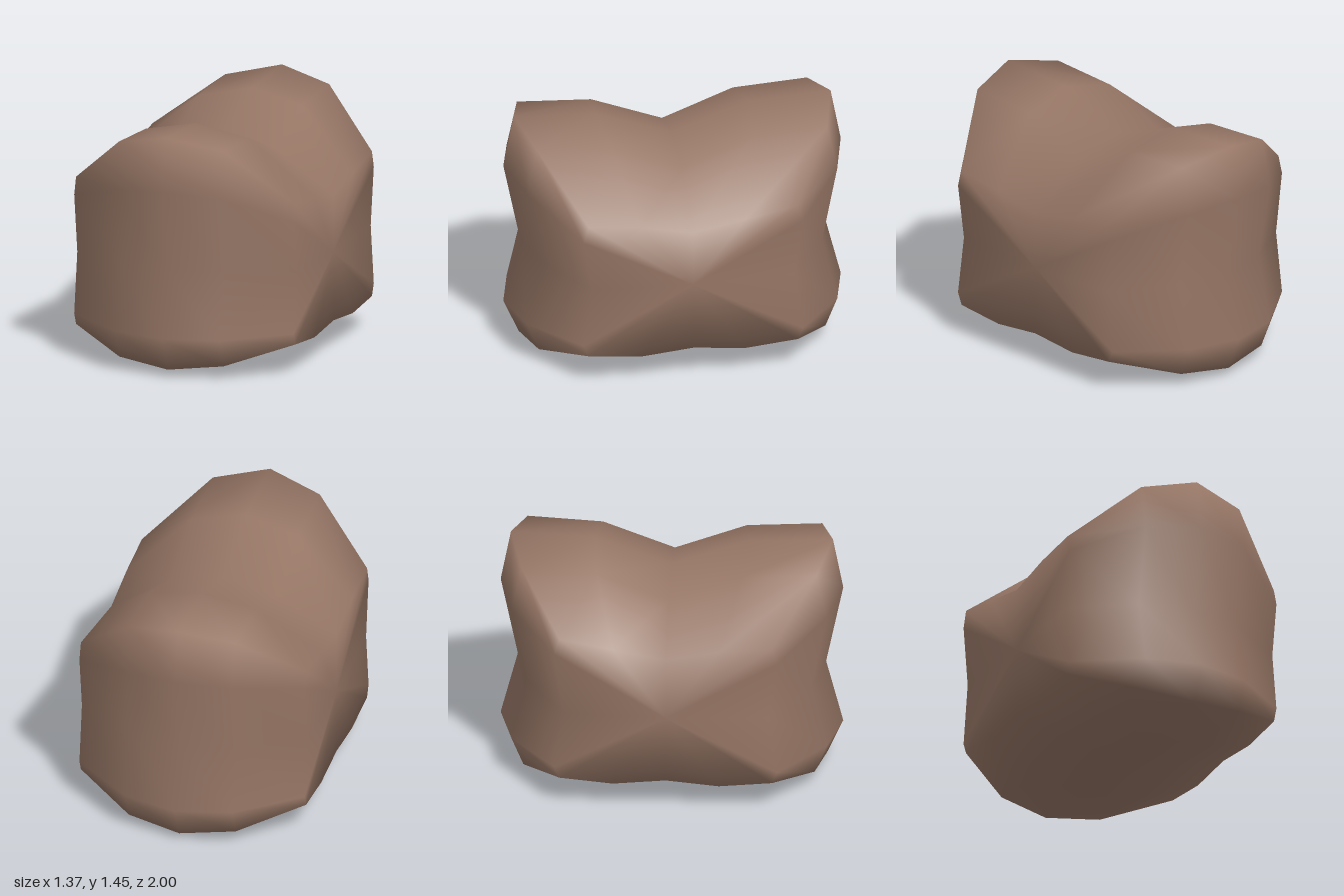
import * as THREE from 'three';

// Half outlines (z, y) from the top middle, down the end, to the bottom middle
const CENTRE = [[0, 1.26], [0.45, 1.42], [0.94, 1.445], [1, 1.13], [0.9, 0.64], [1, 0.25], [0.91, 0.045], [0.45, 0], [0, 0.05]];
const INNER = [[0, 1.19], [0.42, 1.35], [0.86, 1.375], [0.92, 1.1], [0.83, 0.64], [0.92, 0.25], [0.85, 0.08], [0.42, 0.04], [0, 0.085]];
const OUTER = [[0, 0.94], [0.31, 1.0], [0.62, 1.03], [0.65, 0.93], [0.6, 0.62], [0.65, 0.26], [0.62, 0.19], [0.31, 0.16], [0, 0.19]];

// Full closed outline: front half, then the back half mirrored
function outline(half) {
  const back = half.slice(1, -1).reverse().map(([z, y]) => [-z, y]);
  return [...half, ...back];
}

// The shoulders of the lump differ a little in height
function shoulderLift(x, z, y) {
  if (Math.abs(x) < 0.6 || y < 0.9) return 0;
  const side = x < 0 ? 0.045 : 0;
  const back = z < -0.5 ? 0.03 : 0;
  return side + back;
}

export function createModel() {
  const group = new THREE.Group();
  group.name = 'saddleRock';
  const stone = new THREE.MeshStandardMaterial({ color: 0x967665 });
  stone.name = 'brown stone';

  const sections = [[-0.685, OUTER], [-0.325, INNER], [0, CENTRE], [0.325, INNER], [0.685, OUTER]];
  const positions = [];
  const index = [];
  const n = outline(CENTRE).length;

  // Cross-sections from side to side
  for (const [x, half] of sections) {
    for (const [z, y] of outline(half)) positions.push(x, y + shoulderLift(x, z, y), z);
  }
  for (let s = 0; s < sections.length - 1; s++) {
    for (let i = 0; i < n; i++) {
      const j = (i + 1) % n;
      const a = s * n + i, b = s * n + j;
      index.push(a, b, b + n, a, b + n, a + n);
    }
  }

  // Flat sides
  const left = positions.length / 3;
  positions.push(-0.685, 0.6, 0, 0.685, 0.6, 0);
  const last = (sections.length - 1) * n;
  for (let i = 0; i < n; i++) {
    const j = (i + 1) % n;
    index.push(left, j, i, left + 1, last + i, last + j);
  }

  const geometry = new THREE.BufferGeometry();
  geometry.setAttribute('position', new THREE.Float32BufferAttribute(positions, 3));
  geometry.setIndex(index);
  geometry.computeVertexNormals();

  const rock = new THREE.Mesh(geometry, stone);
  rock.name = 'rockBody';
  group.add(rock);
  return group;
}
